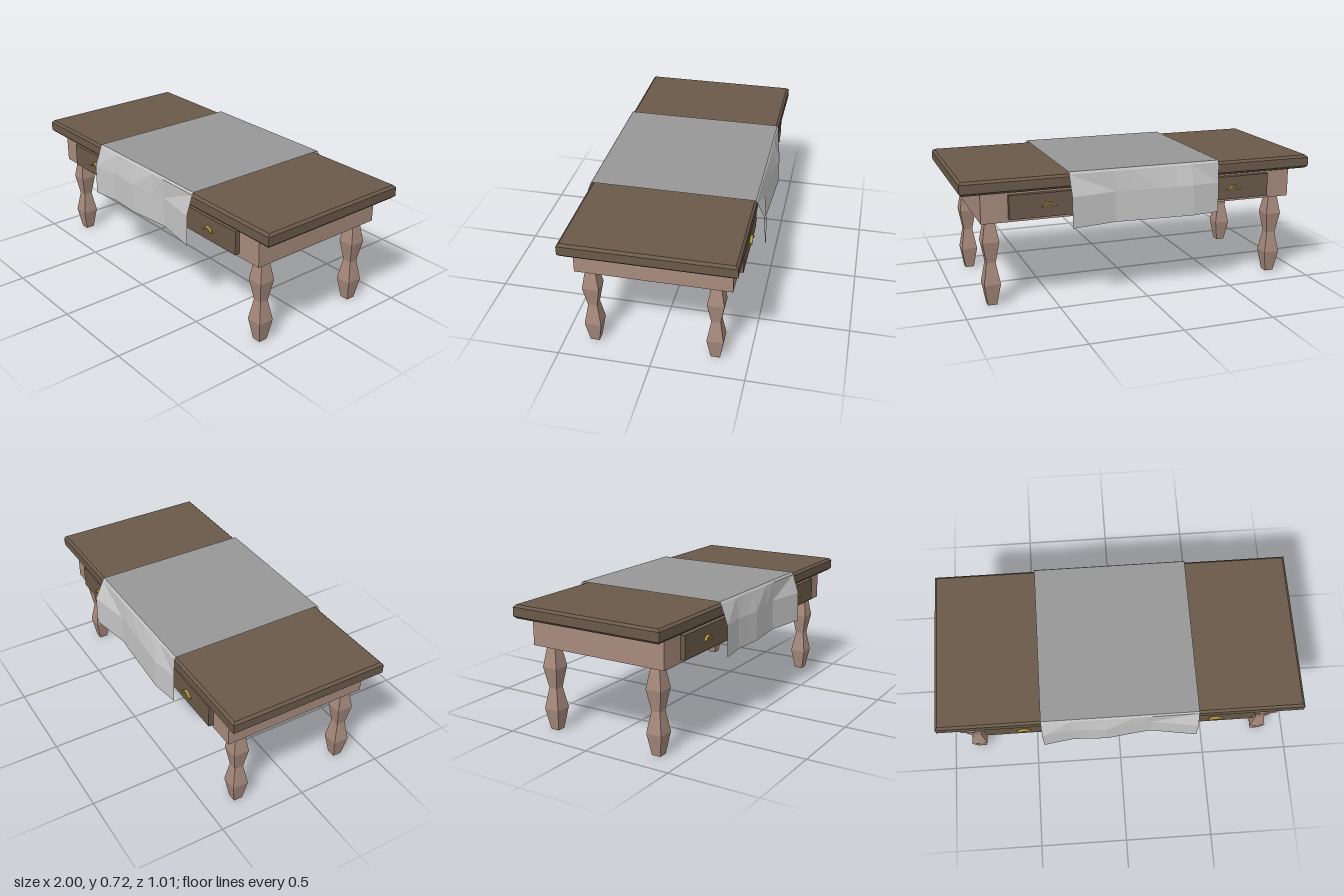
import * as THREE from 'three';

const mat = (name, color, extra = {}) => {
  const m = new THREE.MeshStandardMaterial({ color, flatShading: true, ...extra });
  m.name = name;
  return m;
};

export function createModel() {
  const darkWood = mat('dark wood', 0x6a5a4a);
  const paleWood = mat('pale wood', 0xa88b7d);
  const brass = mat('brass', 0xb59a3e);
  const clothGrey = mat('cloth grey', 0x989898, { side: THREE.DoubleSide });
  const clothLight = mat('cloth light grey', 0xc6c6c6, { side: THREE.DoubleSide });

  const model = new THREE.Group();
  model.name = 'table';
  const add = (name, geometry, material, x = 0, y = 0, z = 0, parent = model) => {
    const mesh = new THREE.Mesh(geometry, material);
    mesh.name = name;
    mesh.position.set(x, y, z);
    parent.add(mesh);
    return mesh;
  };

  // Chamfered table top
  const b = 0.013, hx = 1 - b, hz = 0.452 - b;
  const outline = new THREE.Shape([
    new THREE.Vector2(-hx, -hz), new THREE.Vector2(hx, -hz),
    new THREE.Vector2(hx, hz), new THREE.Vector2(-hx, hz)]);
  const top = new THREE.ExtrudeGeometry(outline, {
    depth: 0.075 - 2 * b, bevelThickness: b, bevelSize: b, bevelSegments: 1 });
  top.rotateX(-Math.PI / 2);
  add('tableTop', top, darkWood, 0, 0.635 + b, 0.005);

  // Apron body
  add('apron', new THREE.BoxGeometry(1.785, 0.163, 0.823), paleWood, -0.003, 0.5535, 0.003);

  // Square legs with two swellings
  const legRows = [[0, 0.025], [0.12, 0.045], [0.237, 0.025], [0.355, 0.045], [0.475, 0.025]];
  const legProfile = [new THREE.Vector2(0, 0),
    ...legRows.map(([y, h]) => new THREE.Vector2(h * Math.SQRT2, y)),
    new THREE.Vector2(0, 0.475)];
  const leg = new THREE.LatheGeometry(legProfile, 4, Math.PI / 4);
  for (const x of [-0.838, 0.832])
    for (const z of [0.34, -0.32]) add('leg', leg, paleWood, x, 0, z);

  // Arched pull with small flared ends
  const arch = new THREE.Shape();
  arch.moveTo(-0.04, -0.012);
  arch.lineTo(-0.026, -0.012);
  arch.quadraticCurveTo(-0.018, 0.007, 0, 0.007);
  arch.quadraticCurveTo(0.018, 0.007, 0.026, -0.012);
  arch.lineTo(0.04, -0.012);
  arch.lineTo(0.04, -0.006);
  arch.lineTo(0.032, -0.006);
  arch.quadraticCurveTo(0.02, 0.016, 0, 0.016);
  arch.quadraticCurveTo(-0.02, 0.016, -0.032, -0.006);
  arch.lineTo(-0.04, -0.006);
  const pull = new THREE.ExtrudeGeometry(arch, { depth: 0.016, bevelEnabled: false, curveSegments: 4 });

  // Two drawers on each long side
  const front = new THREE.BoxGeometry(0.43, 0.13, 0.034);
  for (const side of [1, -1])
    for (const x of [-0.535, 0.53]) {
      const drawer = new THREE.Group();
      drawer.name = 'drawer';
      drawer.position.set(x, 0.555, side > 0 ? 0.425 : -0.419);
      if (side < 0) drawer.rotation.y = Math.PI;
      add('drawerFront', front, darkWood, 0, 0, 0, drawer);
      add('drawerHandle', pull, brass, 0, 0, 0.016, drawer);
      model.add(drawer);
    }

  // Sheet through rows of points
  const sheet = (rows, flip) => {
    const n = rows[0].length, index = [];
    for (let r = 0; r < rows.length - 1; r++)
      for (let c = 0; c < n - 1; c++) {
        const p = r * n + c, q = p + n;
        index.push(...(flip ? [p, p + 1, q, p + 1, q + 1, q] : [p, q, p + 1, p + 1, q, q + 1]));
      }
    const g = new THREE.BufferGeometry();
    g.setAttribute('position', new THREE.Float32BufferAttribute(rows.flat(2), 3));
    g.setIndex(index);
    g.computeVertexNormals();
    return g;
  };

  // Runner lying across the top
  const xs = [-0.432, -0.27, -0.18, -0.08, 0.08, 0.17, 0.425];
  const line = (y, z) => xs.map((x) => [x, y, z]);
  add('runnerTop', sheet([line(0.722, -0.443), line(0.722, 0.452)], false), clothGrey);

  // Hanging ends with a wavy hem
  const hems = {
    1: [0.503, 0.48, 0.483, 0.488, 0.468, 0.459, 0.499],
    [-1]: [0.461, 0.486, 0.481, 0.476, 0.468, 0.462, 0.506],
  };
  for (const side of [1, -1]) {
    const edge = side > 0 ? 0.452 : 0.443;
    const hang = (y, inset) => xs.map((x, i) => [x, y, side * (hems[side][i] - inset)]);
    const rows = [line(0.722, side * edge), line(0.71, side * (edge + 0.008)),
      hang(0.6, 0.002), hang(0.432, 0)];
    add(side > 0 ? 'runnerFrontDrop' : 'runnerBackDrop', sheet(rows, side < 0), clothLight);
  }

  return model;
}
